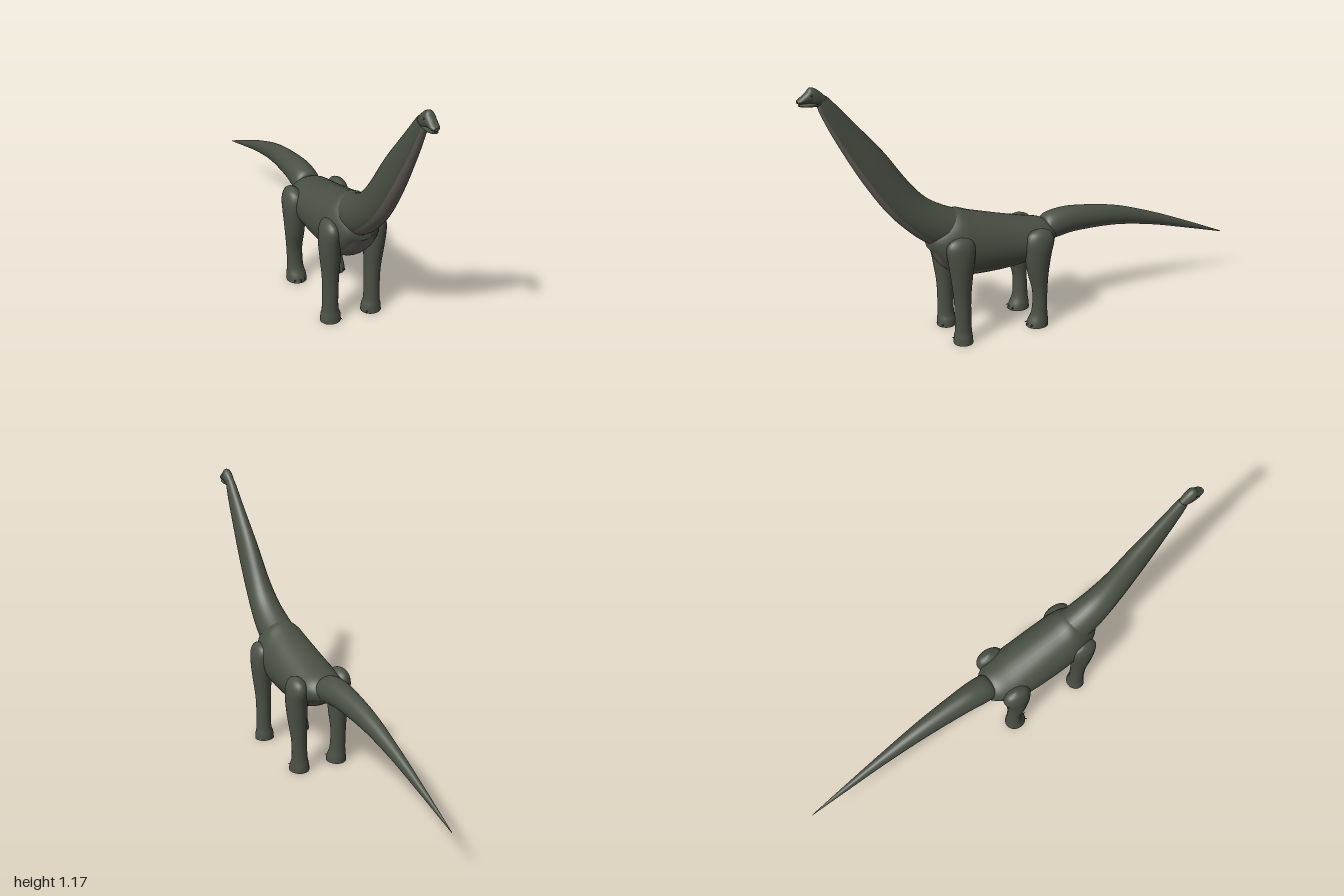
import * as THREE from 'three';

const mat = (name, color) => {
  const m = new THREE.MeshStandardMaterial({ color });
  m.name = name;
  return m;
};

// Catmull-Rom blend of number rows, so a few stations give a smooth form
function smoothRows(rows, steps) {
  const out = [];
  const last = rows.length - 1;
  for (let i = 0; i < last; i++) {
    const a = rows[Math.max(i - 1, 0)], b = rows[i], c = rows[i + 1], d = rows[Math.min(i + 2, last)];
    for (let s = 0; s < steps; s++) {
      const t = s / steps;
      out.push(b.map((v, k) => v + 0.5 * t * (c[k] - a[k]
        + t * (2 * a[k] - 5 * v + 4 * c[k] - d[k] + t * (3 * (v - c[k]) + d[k] - a[k])))));
    }
  }
  out.push(rows[last]);
  return out;
}

// Skin over elliptical rings { c, u, v }; faces with cos(angle) below `under` take material 1
function loft(rings, under = -2, n = 32) {
  const pos = [], top = [], low = [];
  const addRing = ({ c, u, v }) => {
    for (let j = 0; j < n; j++) {
      const a = (j / n) * Math.PI * 2;
      const p = c.clone().addScaledVector(u, Math.cos(a)).addScaledVector(v, Math.sin(a));
      pos.push(p.x, p.y, p.z);
    }
  };
  rings.forEach(addRing);
  for (let i = 0; i < rings.length - 1; i++) {
    for (let j = 0; j < n; j++) {
      const k = (j + 1) % n, a = i * n, b = a + n;
      const list = Math.cos(((j + 0.5) / n) * Math.PI * 2) < under ? low : top;
      list.push(a + j, a + k, b + j, a + k, b + k, b + j);
    }
  }
  // Flat end caps
  [rings[0], rings[rings.length - 1]].forEach((ring, end) => {
    const base = pos.length / 3;
    addRing(ring);
    pos.push(ring.c.x, ring.c.y, ring.c.z);
    for (let j = 0; j < n; j++) {
      const k = (j + 1) % n;
      top.push(base + n, base + (end ? j : k), base + (end ? k : j));
    }
  });
  const g = new THREE.BufferGeometry();
  g.setAttribute('position', new THREE.Float32BufferAttribute(pos, 3));
  g.setIndex([...top, ...low]);
  g.addGroup(0, top.length, 0);
  g.addGroup(top.length, low.length, 1);
  g.computeVertexNormals();
  return g;
}

// Stations: upper z, upper y, lower z, lower y, half width; ordered front to back
const spine = (rows, under) => loft(smoothRows(rows, 6).map(([zt, yt, zb, yb, w]) => ({
  c: new THREE.Vector3(0, (yt + yb) / 2, (zt + zb) / 2),
  u: new THREE.Vector3(0, (yt - yb) / 2, (zt - zb) / 2),
  v: new THREE.Vector3(w, 0, 0),
})), under);

// Stations: y, centre x, radius x, centre z, radius z; ordered from the ground up
const limb = (rows, side) => loft(smoothRows(rows, 5).map(([y, x, rx, z, rz]) => ({
  c: new THREE.Vector3(x * side, y, z),
  u: new THREE.Vector3(0, 0, rz),
  v: new THREE.Vector3(rx, 0, 0),
})), -2, 24);

export function createModel() {
  const model = new THREE.Group();
  model.name = 'longNeckedDinosaur';
  const hide = mat('olive hide', 0x4b5145);
  const belly = mat('grey belly', 0x67605a);
  const dark = mat('dark claw', 0x2b2b26);
  const skin = [hide, belly];

  const add = (name, geometry, material, parent = model) => {
    const m = new THREE.Mesh(geometry, material);
    m.name = name;
    parent.add(m);
    return m;
  };

  add('body', spine([
    [0.50, 0.465, 0.50, 0.42, 0.03], [0.49, 0.50, 0.485, 0.40, 0.065],
    [0.45, 0.545, 0.45, 0.335, 0.092], [0.38, 0.578, 0.38, 0.285, 0.112],
    [0.30, 0.553, 0.30, 0.27, 0.12], [0.15, 0.508, 0.15, 0.27, 0.12],
    [0.05, 0.48, 0.05, 0.288, 0.115], [-0.03, 0.46, -0.03, 0.33, 0.09],
    [-0.08, 0.425, -0.08, 0.36, 0.05],
  ], -0.68), skin);

  add('neck', spine([
    [0.885, 1.125, 0.925, 1.092, 0.02], [0.862, 1.10, 0.91, 1.045, 0.024],
    [0.80, 1.025, 0.86, 0.935, 0.031], [0.674, 0.873, 0.77, 0.765, 0.045],
    [0.58, 0.738, 0.67, 0.61, 0.056], [0.505, 0.652, 0.575, 0.505, 0.068],
    [0.42, 0.597, 0.50, 0.445, 0.077], [0.33, 0.56, 0.40, 0.40, 0.08],
  ], -0.7), skin);

  add('tail', spine([
    [-0.035, 0.43, -0.035, 0.39, 0.025], [-0.045, 0.468, -0.045, 0.357, 0.055],
    [-0.10, 0.485, -0.10, 0.36, 0.06], [-0.20, 0.486, -0.20, 0.37, 0.053],
    [-0.40, 0.452, -0.40, 0.36, 0.039], [-0.60, 0.385, -0.60, 0.322, 0.025],
    [-0.80, 0.302, -0.80, 0.267, 0.013], [-1.0, 0.213, -1.0, 0.209, 0.001],
  ], -0.55), skin);

  // Head: domed skull over a thin lower jaw
  const head = new THREE.Group();
  head.name = 'head';
  model.add(head);
  add('skull', spine([
    [1.0, 1.122, 1.0, 1.11, 0.01], [0.988, 1.13, 0.988, 1.107, 0.018],
    [0.965, 1.149, 0.962, 1.106, 0.021], [0.947, 1.166, 0.942, 1.10, 0.023],
    [0.922, 1.157, 0.932, 1.092, 0.023], [0.885, 1.122, 0.92, 1.092, 0.018],
  ]), hide, head);
  add('jaw', spine([
    [0.994, 1.106, 0.994, 1.098, 0.01], [0.975, 1.107, 0.975, 1.093, 0.017],
    [0.94, 1.11, 0.94, 1.09, 0.019], [0.91, 1.11, 0.915, 1.09, 0.016],
  ], -0.3), skin, head);
  for (const side of [1, -1]) {
    const eye = add('eye', new THREE.SphereGeometry(0.004, 10, 8), dark, head);
    eye.position.set(0.021 * side, 1.139, 0.948);
  }

  // Legs with toe claws, mirrored left and right
  const legs = {
    frontLeg: {
      rows: [
        [0, 0.095, 0.045, 0.39, 0.042], [0.03, 0.095, 0.042, 0.39, 0.04],
        [0.07, 0.097, 0.034, 0.39, 0.036], [0.2, 0.097, 0.035, 0.39, 0.037],
        [0.3, 0.1, 0.042, 0.392, 0.047], [0.38, 0.104, 0.044, 0.393, 0.058],
        [0.44, 0.106, 0.037, 0.395, 0.063], [0.472, 0.106, 0.022, 0.395, 0.045],
        [0.485, 0.106, 0.004, 0.395, 0.008],
      ],
      claws: [-0.8],
    },
    hindLeg: {
      rows: [
        [0, 0.095, 0.045, 0.037, 0.05], [0.025, 0.095, 0.043, 0.034, 0.046],
        [0.07, 0.097, 0.036, 0.027, 0.034], [0.16, 0.1, 0.036, 0.027, 0.032],
        [0.25, 0.102, 0.043, 0.036, 0.046], [0.34, 0.105, 0.047, 0.037, 0.06],
        [0.40, 0.107, 0.044, 0.031, 0.067], [0.44, 0.107, 0.03, 0.03, 0.05],
        [0.458, 0.107, 0.004, 0.03, 0.008],
      ],
      claws: [-0.6, 0, 0.6],
    },
  };
  for (const [name, { rows, claws }] of Object.entries(legs)) {
    for (const side of [1, -1]) {
      const leg = new THREE.Group();
      leg.name = name;
      model.add(leg);
      add('limb', limb(rows, side), hide, leg);
      const [, x, rx, z, rz] = rows[0];
      for (const a of claws) {
        const cone = new THREE.ConeGeometry(0.007, 0.026, 8).rotateX(Math.PI / 2 + 0.25);
        const claw = add('claw', cone, dark, leg);
        claw.position.set((x + Math.sin(a) * rx * 0.95) * side, 0.012, z + Math.cos(a) * rz * 0.95);
        claw.rotation.y = a * side;
      }
    }
  }
  return model;
}
